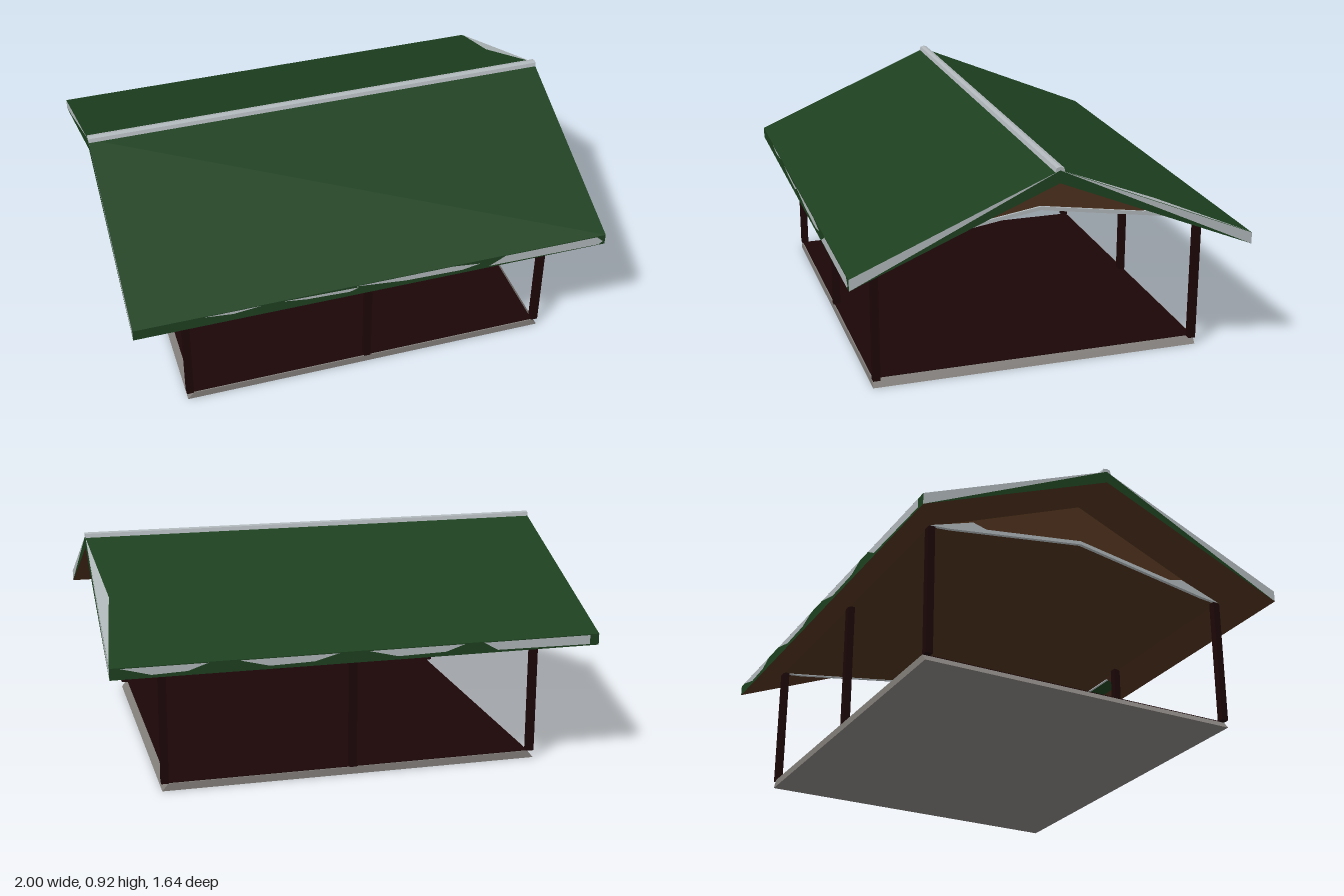
import * as THREE from 'three';

const mat = (name, color) => new THREE.MeshStandardMaterial({ name, color, side: THREE.DoubleSide });

export function createModel() {
  const green = mat('roof green', 0x1d401f);
  const trim = mat('trim grey', 0xb0b7ba);
  const wood = mat('wood brown', 0x4c301c);
  const maroon = mat('dark maroon', 0x1c0607);
  const concrete = mat('concrete grey', 0x827e7a);

  const model = new THREE.Group();
  model.name = 'pavilion';

  const add = (parent, name, geometry, material, x = 0, y = 0, z = 0) => {
    const mesh = new THREE.Mesh(geometry, material);
    mesh.name = name;
    mesh.position.set(x, y, z);
    parent.add(mesh);
    return mesh;
  };
  const box = (parent, name, material, w, h, d, x, y, z) =>
    add(parent, name, new THREE.BoxGeometry(w, h, d), material, x, y, z);

  // Flat convex panel through the given corners
  const panel = (parent, name, material, corners) => {
    const pos = [];
    for (let i = 1; i < corners.length - 1; i++) pos.push(...corners[0], ...corners[i], ...corners[i + 1]);
    const g = new THREE.BufferGeometry();
    g.setAttribute('position', new THREE.Float32BufferAttribute(pos, 3));
    g.computeVertexNormals();
    return add(parent, name, g, material);
  };
  const prism = (points, depth) => {
    const shape = new THREE.Shape(points.map(([a, b]) => new THREE.Vector2(a, b)));
    const g = new THREE.ExtrudeGeometry(shape, { depth, bevelEnabled: false });
    return g.translate(0, 0, -depth / 2);
  };

  // Slab with sloping ends, and the floor on it
  const midX = 0.006;
  add(model, 'slab', prism([[-0.79, 0], [0.79, 0], [0.765, 0.031], [-0.765, 0.031]], 1.39), concrete, midX);
  box(model, 'floor', maroon, 1.53, 0.004, 1.38, midX, 0.032, 0);

  // Posts in two rows of three
  for (const z of [-0.68, 0.68])
    for (const x of [-0.778, 0, 0.778]) box(model, 'post', maroon, 0.03, 0.545, 0.03, x + midX, 0.303, z);

  // Gable infill and tapered tie beam at each end
  const infill = [[0, 0.857], [0.675, 0.58], [0, 0.68], [-0.675, 0.58]];
  const tie = [[-0.69, 0.573], [-0.5, 0.638], [-0.44, 0.622], [0, 0.69], [0.44, 0.622],
    [0.5, 0.638], [0.69, 0.573], [0.6, 0.581], [0, 0.675], [-0.6, 0.581]];
  for (const side of [-1, 1]) {
    add(model, 'gableInfill', prism(infill, 0.01), wood, side * 0.776).rotation.y = Math.PI / 2;
    add(model, 'gableTie', prism(tie, 0.014), trim, side * 0.783).rotation.y = Math.PI / 2;
  }

  // One roof slope with its half of the vaulted ceiling
  const ridgeTop = 0.908, ridgeLow = 0.857, eaveTop = 0.565, eaveLow = 0.518, eaveZ = 0.82;
  const makeSlope = (name, barePatches) => {
    const slope = new THREE.Group();
    slope.name = name;
    panel(slope, 'roofSheet', green, [[-1, ridgeTop, 0], [-1, eaveTop, eaveZ], [1, eaveTop, eaveZ], [1, ridgeTop, 0]]);
    panel(slope, 'roofUnderside', wood, [[-1, ridgeLow, 0], [1, ridgeLow, 0], [1, eaveLow, eaveZ], [-1, eaveLow, eaveZ]]);
    panel(slope, 'ceiling', wood, [[-0.785, 0.676, 0], [0.785, 0.676, 0], [0.785, 0.574, 0.685], [-0.785, 0.574, 0.685]]);
    panel(slope, 'eaveFascia', green, [[-1, eaveLow, eaveZ], [1, eaveLow, eaveZ], [1, eaveTop, eaveZ], [-1, eaveTop, eaveZ]]);
    for (const x of [-1, 1]) {
      panel(slope, 'rakeEdge', green, [[x, ridgeTop, 0], [x, ridgeLow, 0], [x, eaveLow, eaveZ]]);
      panel(slope, 'rakeTrim', trim, [[x, ridgeTop, 0], [x, eaveLow, eaveZ], [x, eaveTop, eaveZ]]);
    }
    // Bare metal showing along the eave
    for (const p of barePatches)
      panel(slope, 'eaveTrim', trim, p.map(([x, y]) => [x, y, eaveZ + 0.002]));
    return slope;
  };
  const front = makeSlope('frontSlope', [
    [[-0.72, 0.564], [-0.6, 0.551], [-0.48, 0.564]],
    [[-0.4, 0.563], [-0.3, 0.549], [-0.12, 0.542], [-0.08, 0.556]],
    [[-0.1, 0.564], [0.12, 0.541], [0.36, 0.536], [0.44, 0.55], [0.32, 0.564]],
    [[0.48, 0.527], [0.97, 0.522], [0.99, 0.535], [0.96, 0.563], [0.55, 0.564]],
  ]);
  const back = makeSlope('backSlope', [
    [[-0.96, 0.562], [-0.84, 0.53], [-0.7, 0.535], [-0.62, 0.562]],
    [[-0.5, 0.562], [-0.38, 0.532], [-0.2, 0.536], [-0.1, 0.562]],
    [[0.02, 0.562], [0.14, 0.532], [0.34, 0.536], [0.42, 0.562]],
    [[0.5, 0.562], [0.56, 0.528], [0.96, 0.524], [0.96, 0.562]],
  ]);
  back.rotation.y = Math.PI;
  model.add(front, back);

  // Green strip and thin trim under the front overhang
  const under = z => ridgeLow - (ridgeLow - eaveLow) * z / eaveZ - 0.002;
  panel(model, 'overhangStrip', green,
    [[0.1, under(0.7), 0.7], [0.78, under(0.7), 0.7], [0.78, under(0.75), 0.75], [0.1, under(0.75), 0.75]]);
  box(model, 'overhangTrim', trim, 0.68, 0.004, 0.01, 0.44, under(0.695), 0.695);

  // Bare metal along the rake of the back slope
  const onRoof = (x, z) => [x, ridgeTop - (ridgeTop - eaveTop) * Math.abs(z) / eaveZ + 0.002, z];
  panel(model, 'backRakeTrim', trim, [onRoof(1, -0.02), onRoof(1, -0.81), onRoof(0.95, -0.41)]);

  // Ridge cap
  add(model, 'ridgeCap', prism([[-0.02, 0.902], [0.02, 0.902], [0.015, 0.918], [0, 0.922], [-0.015, 0.918]], 2),
    trim).rotation.y = Math.PI / 2;

  return model;
}
